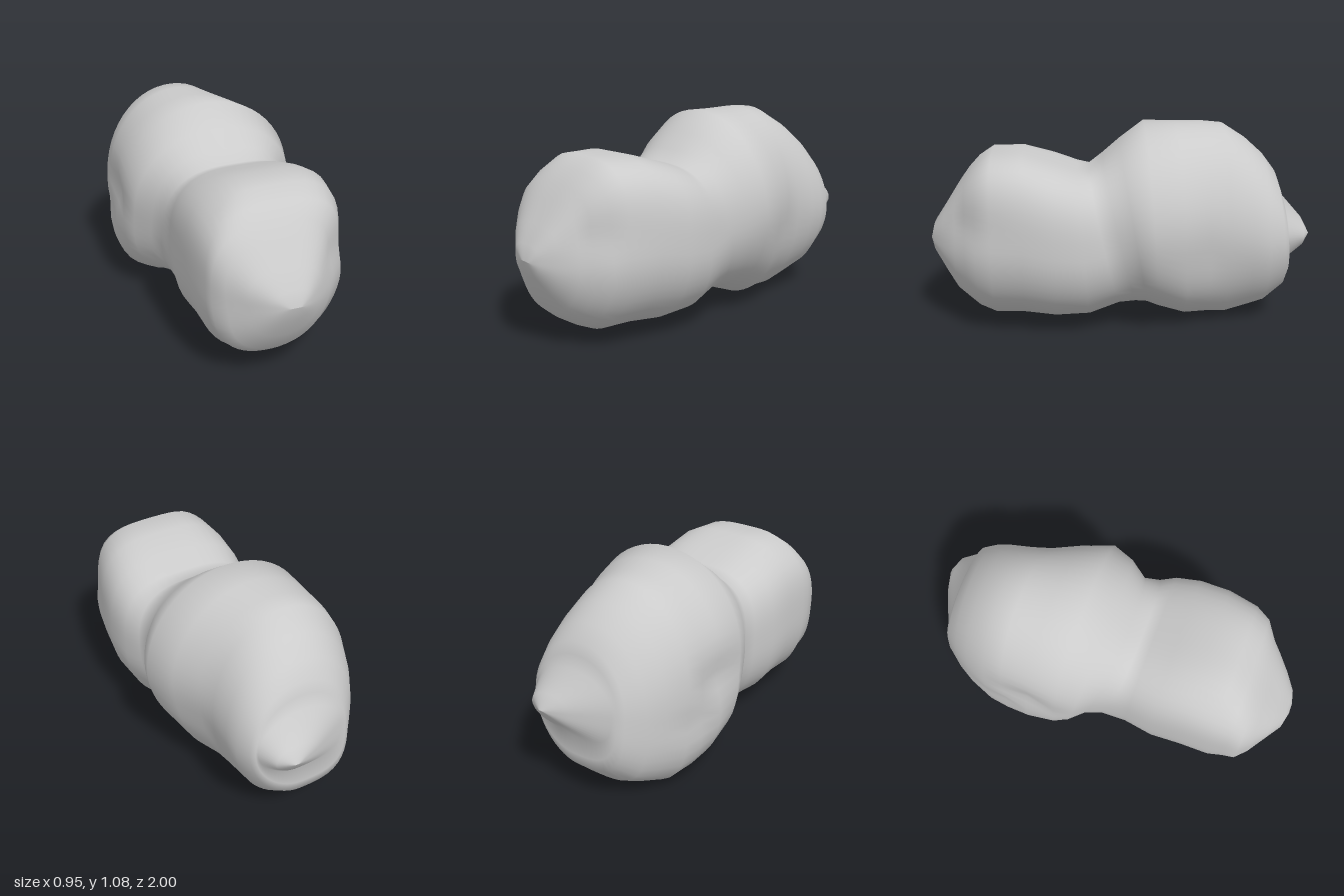
import * as THREE from 'three';

// Cross-sections from nose to tail: [zTop, yTop, zBottom, yBottom, xRight, xLeft]
const SECTIONS = [
  [1, .47, 1, .47, -.03, .03],
  [.98, .55, .98, .39, -.12, .09],
  [.92, .64, .92, .28, -.22, .17],
  [.85, .75, .86, .18, -.3, .25],
  [.80, .82, .80, .13, -.345, .3],
  [.74, .89, .74, .095, -.35, .37],
  [.66, .945, .66, .06, -.365, .395],
  [.5, .945, .5, .065, -.365, .43],
  [.34, .9, .34, .05, -.365, .45],
  [.22, .86, .16, .06, -.335, .435],
  [.16, .845, 0, .11, -.34, .40],
  [.09, .90, -.09, .105, -.37, .38],
  [0, .98, -.15, .105, -.44, .45],
  [-.13, 1.08, -.2, .08, -.475, .48],
  [-.3, 1.07, -.35, .02, -.48, .43],
  [-.45, 1.065, -.47, .01, -.47, .36],
  [-.55, 1.055, -.58, .005, -.45, .33],
  [-.67, .98, -.7, .05, -.4, .32],
  [-.76, .9, -.78, .085, -.35, .31],
  [-.82, .82, -.88, .18, -.28, .28],
  [-.84, .76, -.9, .25, -.25, .26],
  [-.86, .69, -.885, .34, -.22, .25],
  [-.96, .58, -.96, .43, -.03, .2],
  [-1, .5, -1, .5, .1, .12],
];

// Roundness of the four quadrants (top left, top right, bottom right, bottom left)
const FRONT_LOBE = [3.3, 3.1, 2.4, 2.0];
const BACK_LOBE = [2.0, 2.1, 3.3, 1.85];

// Shallow hollows: [x, y, z, radius, depth]
const HOLLOWS = [
  [.33, .64, .8, .13, .04],
  [-.22, .4, .88, .13, .03],
  [-.25, .85, .6, .1, .03],
  [.36, .45, -.38, .16, .03],
  [-.48, .57, -.35, .12, .05],
  [-.47, .38, -.5, .08, .03],
];

// Section point at angle t, as a superellipse with its own power in each quadrant
function sectionPoint(row, t) {
  const [zt, yt, zb, yb, xr, xl] = row;
  const c = Math.cos(t), s = Math.sin(t);
  const q = s >= 0 ? (c >= 0 ? 0 : 1) : (c < 0 ? 2 : 3);
  const blend = THREE.MathUtils.smoothstep((zt + zb) / 2, -.15, .2);
  const n = THREE.MathUtils.lerp(BACK_LOBE[q], FRONT_LOBE[q], blend);
  const r = Math.pow(Math.pow(Math.abs(c), n) + Math.pow(Math.abs(s), n), -1 / n);
  const v = (1 + r * s) / 2;
  return new THREE.Vector3(
    (xr + xl) / 2 + r * c * (xl - xr) / 2,
    yb + (yt - yb) * v,
    zb + (zt - zb) * v
  );
}

// Press the hollows in towards the long axis
function dent(p) {
  const inward = new THREE.Vector3(-p.x, .5 - p.y, 0).normalize();
  let depth = 0;
  for (const [x, y, z, radius, d] of HOLLOWS) {
    const dist2 = (p.x - x) ** 2 + (p.y - y) ** 2 + (p.z - z) ** 2;
    depth += d * Math.exp(-dist2 / (radius * radius));
  }
  return p.addScaledVector(inward, depth);
}

function loft(segments) {
  const positions = [], index = [];
  SECTIONS.forEach((row, i) => {
    for (let j = 0; j < segments; j++) {
      const p = dent(sectionPoint(row, (j / segments) * Math.PI * 2));
      positions.push(p.x, p.y, p.z);
      if (i === SECTIONS.length - 1) continue;
      const a = i * segments + j, b = i * segments + (j + 1) % segments;
      index.push(a, a + segments, b, b, a + segments, b + segments);
    }
  });
  const geometry = new THREE.BufferGeometry();
  geometry.setAttribute('position', new THREE.Float32BufferAttribute(positions, 3));
  geometry.setIndex(index);
  geometry.computeVertexNormals();
  return geometry;
}

export function createModel() {
  const group = new THREE.Group();
  group.name = 'asteroid';
  // Two joined lobes with a slanting neck
  const body = new THREE.Mesh(loft(56), new THREE.MeshStandardMaterial({ color: 0xcccccc }));
  body.name = 'twoLobedRock';
  group.add(body);
  return group;
}
